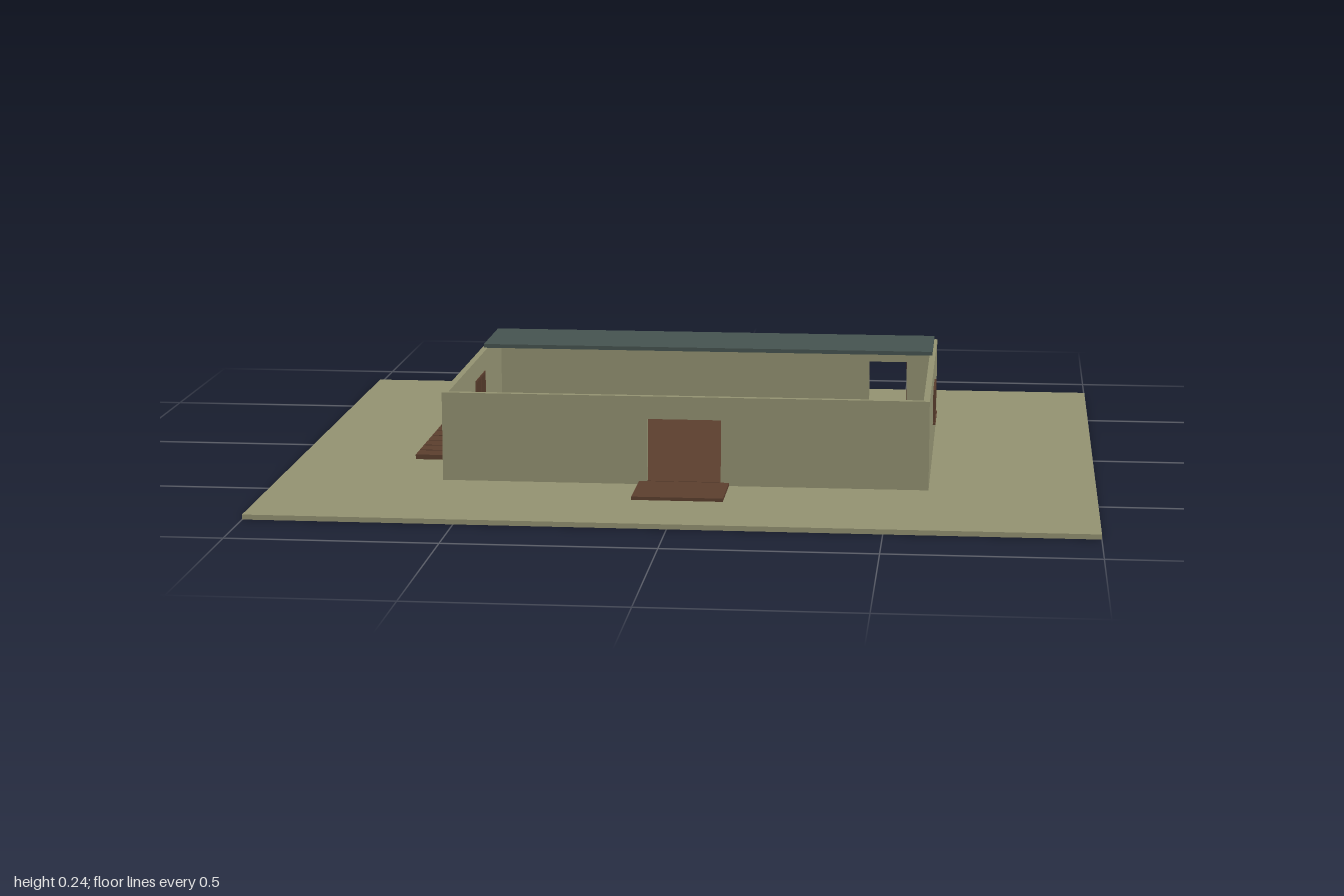
import * as THREE from 'three';

const mat = (name, color, side = THREE.FrontSide) => {
  const m = new THREE.MeshStandardMaterial({ color, side });
  m.name = name;
  return m;
};

export function createModel() {
  const olive = mat('olive plaster', 0x949372);
  const brown = mat('brown wood', 0x5c3f2e);
  const slate = mat('slate roof', 0x465450);
  const cream = mat('cream', 0xc8b99c);

  const model = new THREE.Group();
  model.name = 'house';

  const add = (name, geometry, material, parent = model) => {
    const mesh = new THREE.Mesh(geometry, material);
    mesh.name = name;
    parent.add(mesh);
    return mesh;
  };
  // Box given by its limits on each axis
  const box = (name, material, x0, x1, y0, y1, z0, z1, parent = model) => {
    const mesh = add(name, new THREE.BoxGeometry(x1 - x0, y1 - y0, z1 - z0), material, parent);
    mesh.position.set((x0 + x1) / 2, (y0 + y1) / 2, (z0 + z1) / 2);
    return mesh;
  };
  const group = (name, x, y, z) => {
    const g = new THREE.Group();
    g.name = name;
    g.position.set(x, y, z);
    model.add(g);
    return g;
  };

  // Plot and floor
  const G = 0.012, F = 0.02, TOP = 0.231, T = 0.015;
  box('ground', olive, -1, 1, 0, G, -0.82, 0.82);
  box('floor', brown, -0.58, 0.58, G, F, -0.403, 0.403);

  // Wall with one rectangular opening [x0, x1, y0, y1]
  const wall = (name, half, [x0, x1, y0, y1]) => {
    const shape = new THREE.Shape([
      new THREE.Vector2(-half, G), new THREE.Vector2(half, G),
      new THREE.Vector2(half, TOP), new THREE.Vector2(-half, TOP)]);
    shape.holes.push(new THREE.Path([
      new THREE.Vector2(x0, y0), new THREE.Vector2(x0, y1),
      new THREE.Vector2(x1, y1), new THREE.Vector2(x1, y0)]));
    return add(name, new THREE.ExtrudeGeometry(shape, { depth: T, bevelEnabled: false }), olive);
  };
  wall('frontWall', 0.595, [-0.09, 0.09, F, 0.175]).position.z = 0.403;
  wall('backWall', 0.595, [0.415, 0.515, F, 0.17]).position.z = -0.403 - T;
  for (const [name, x] of [['leftWall', 0.58], ['rightWall', -0.595]]) {
    const side = wall(name, 0.403, [-0.015, 0.13, 0.095, 0.18]);
    side.rotation.y = Math.PI / 2;
    side.position.x = x;
  }

  // Roof strip over the back of the house
  box('roof', slate, -0.59, 0.587, TOP, 0.241, -0.412, -0.18);

  // Window frames with a centre bar and a sill
  for (const s of [-1, 1]) {
    const w = group(s > 0 ? 'leftWindow' : 'rightWindow', s * 0.589, 0.1375, -0.0575);
    const d = 0.011, h = 0.0425, r = 0.0725, b = 0.006;
    box('frameTop', brown, -d, d, h - b, h, -r, r, w);
    box('frameBottom', brown, -d, d, -h, -h + b, -r, r, w);
    for (const z of [-r, -b / 2, r - b]) box('frameBar', brown, -d, d, -h + b, h - b, z, z + b, w);
    box('sill', brown, -0.013, 0.013, -h - 0.005, -h, -r - 0.005, r + 0.005, w);
  }

  // Entrance slabs, open back door, slatted walk
  box('frontStep', brown, -0.11, 0.11, G, F, 0.418, 0.585);
  box('backStep', brown, 0.41, 0.525, G, F, -0.53, -0.418);
  box('frontThreshold', brown, -0.09, 0.09, F, F + 0.001, 0.403, 0.418);
  box('backThreshold', brown, 0.415, 0.515, F, F + 0.001, -0.418, -0.403);
  box('backDoor', brown, 0.514, 0.523, F, 0.17, -0.505, -0.418);
  for (let i = 0; i < 8; i++) {
    const z = -0.265 + i * 0.0585;
    box('walkSlat', brown, -0.705, -0.6, G, 0.024, z, z + 0.051);
  }

  // Tables with a plate and a cup
  for (const [x, z, s] of [[0.47, -0.065, 1], [-0.472, 0.055, 1], [0.115, -0.29, 1]]) {
    const t = group('table', x, F, z);
    box('tableTop', brown, -0.052, 0.052, 0.045, 0.051, -0.025, 0.025, t);
    for (const lx of [-0.041, 0.041]) for (const lz of [-0.018, 0.018])
      box('tableLeg', brown, lx - 0.004, lx + 0.004, 0, 0.045, lz - 0.004, lz + 0.004, t);
    box('plate', cream, -0.01, 0.01, 0.051, 0.054, -0.01, 0.01, t);
    const cup = add('cup', new THREE.CylinderGeometry(0.004, 0.003, 0.009, 10), cream, t);
    cup.position.set(s * 0.021, 0.0555, 0);
  }

  // Planters in the front corners
  for (const x of [-0.53, 0.53]) {
    const p = group('planter', x, F, 0.35);
    add('pot', new THREE.CylinderGeometry(0.015, 0.012, 0.036, 12), brown, p).position.y = 0.018;
    const rim = add('potRim', new THREE.TorusGeometry(0.0125, 0.003, 6, 12), slate, p);
    rim.rotation.x = Math.PI / 2;
    rim.position.y = 0.036;
    add('plant', new THREE.SphereGeometry(0.007, 8, 6), olive, p).position.y = 0.038;
  }

  return model;
}
